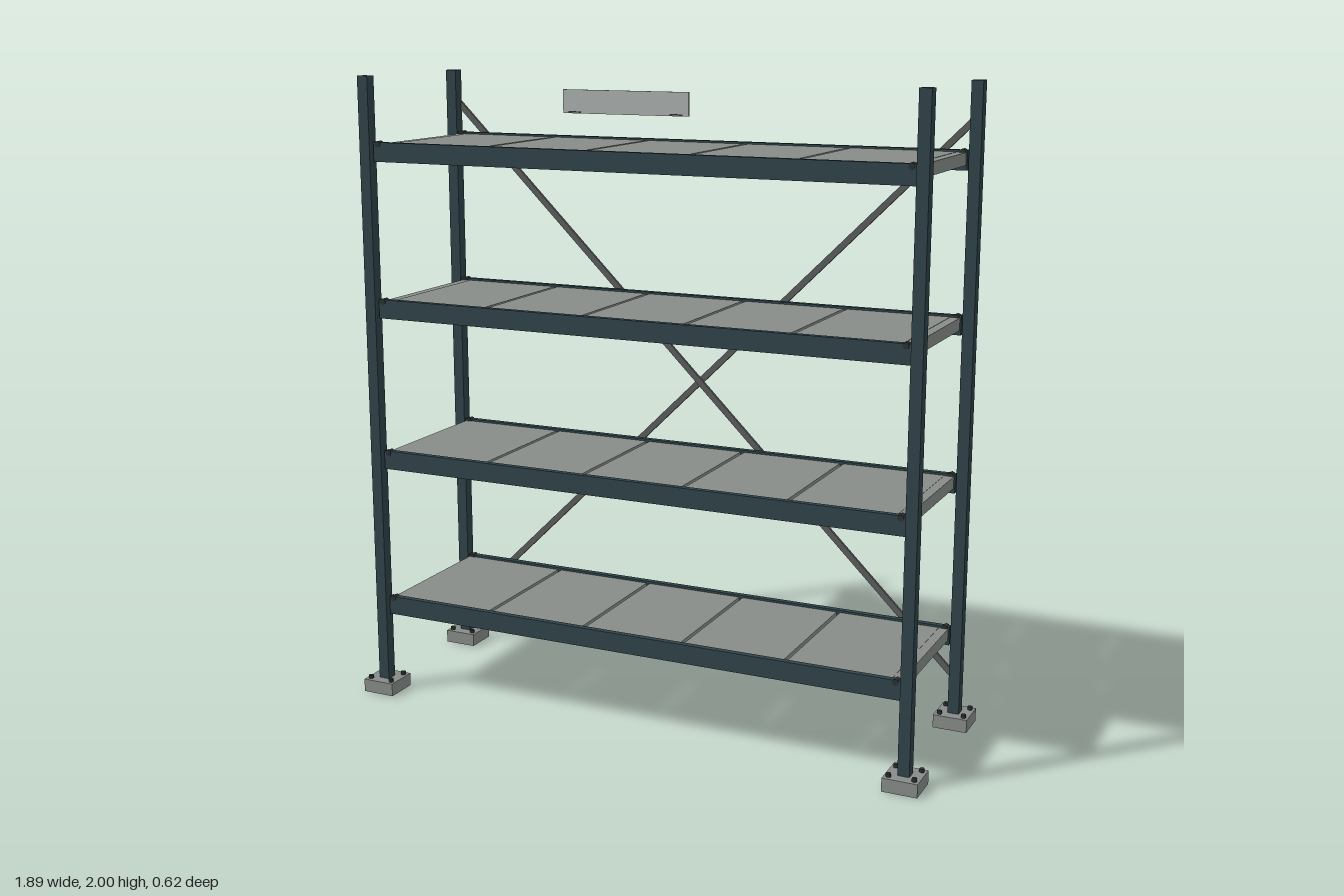
import * as THREE from 'three';

const mat = (name, color) => {
  const m = new THREE.MeshStandardMaterial({ color });
  m.name = name;
  return m;
};

export function createModel() {
  const rack = new THREE.Group();
  rack.name = 'shelvingRack';

  const paint = mat('dark teal paint', 0x2f4348);
  const steel = mat('galvanised steel', 0x868c88);
  const braceSteel = mat('brace steel', 0x5a5c5b);
  const boltDark = mat('dark bolt', 0x2c3033);
  const plateGrey = mat('light plate', 0xaab0ad);

  const add = (name, geometry, material, x, y, z) => {
    const mesh = new THREE.Mesh(geometry, material);
    mesh.name = name;
    mesh.position.set(x, y, z);
    rack.add(mesh);
    return mesh;
  };
  const box = (w, h, d) => new THREE.BoxGeometry(w, h, d);

  const POST_X = 0.892, POST_Z = 0.255;
  const signs = [-1, 1];

  // Uprights on bolted feet
  const postGeo = box(0.036, 1.96, 0.036);
  const footGeo = box(0.108, 0.042, 0.108);
  const footBoltGeo = new THREE.CylinderGeometry(0.008, 0.008, 0.012, 6);
  for (const sx of signs) for (const sz of signs) {
    const x = sx * POST_X, z = sz * POST_Z;
    add('post', postGeo, paint, x, 1.02, z);
    add('foot', footGeo, steel, x, 0.021, z);
    for (const bx of signs) for (const bz of signs)
      add('footBolt', footBoltGeo, boltDark, x + bx * 0.039, 0.047, z + bz * 0.036);
  }

  // Shelf levels: beams, end rails, deck panels and beam pins
  const beamGeo = box(1.74, 0.06, 0.02);
  const railGeo = box(0.03, 0.038, 0.474);
  const panelGeo = box(0.325, 0.014, 0.47);
  const pinGeo = new THREE.CylinderGeometry(0.01, 0.01, 0.024, 8).rotateX(Math.PI / 2);
  for (let level = 0; level < 4; level++) {
    const y = 0.295 + level * 0.491;
    for (const s of signs) {
      add('beam', beamGeo, paint, 0, y, s * 0.247);
      add('endRail', railGeo, steel, s * 0.851, y + 0.004, 0);
      for (const sx of signs) add('beamPin', pinGeo, boltDark, sx * 0.855, y + 0.024, s * 0.247);
    }
    for (let i = -2; i <= 2; i++) add('deckPanel', panelGeo, steel, i * 0.337, y + 0.017, 0);
  }

  // Crossed rear braces, one behind the other
  const braceGeo = box(Math.hypot(1.764, 1.74), 0.02, 0.01);
  const angle = Math.atan2(1.74, 1.764);
  for (const s of signs)
    add('brace', braceGeo, braceSteel, 0, 1.02, -0.279 - s * 0.006).rotation.z = s * angle;

  // Blank label plate above the front edge, with two small slots
  add('labelPlate', box(0.4, 0.068, 0.006), plateGrey, 0, 1.939, 0.259);
  for (const s of signs) add('labelSlot', box(0.04, 0.004, 0.002), boltDark, s * 0.162, 1.909, 0.262);

  return rack;
}
